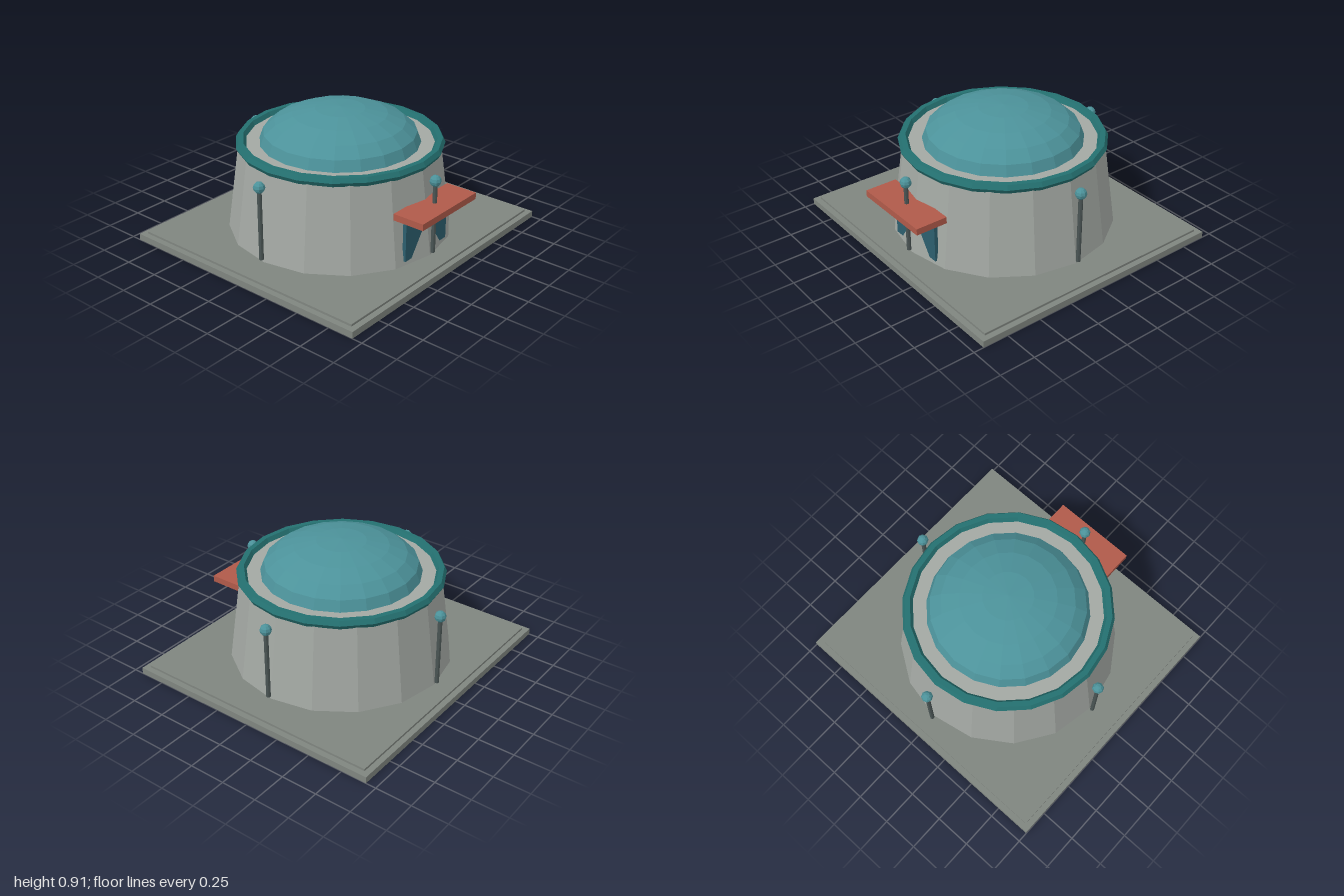
import * as THREE from 'three';

const mat = (color) => new THREE.MeshStandardMaterial({ color, flatShading: true });

export function createModel() {
  const group = new THREE.Group();
  const stone = mat(0x7f857f), wallGrey = mat(0xa3a8a3), domeTeal = mat(0x4c929a);
  const trimTeal = mat(0x247070), metal = mat(0x4a5554), clay = mat(0xb05a4a), doorBlue = mat(0x2c5f6e);

  const add = (name, geometry, material, x = 0, y = 0, z = 0, parent = group) => {
    const mesh = new THREE.Mesh(geometry, material);
    mesh.name = name;
    mesh.position.set(x, y, z);
    parent.add(mesh);
    return mesh;
  };

  // Stepped square base
  add('baseSlab', new THREE.BoxGeometry(2, 0.045, 1.86), stone, 0, 0.0225, 0);
  add('baseStep', new THREE.BoxGeometry(1.92, 0.04, 1.78), stone, 0, 0.04, 0);

  // Tapered sixteen-sided wall
  add('wall', new THREE.CylinderGeometry(0.676, 0.76, 0.61, 16), wallGrey, 0, 0.365, 0);

  // Rim ring around the roof edge
  const ring = new THREE.TorusGeometry(0.665, 0.035, 6, 20).rotateX(Math.PI / 2);
  add('rimRing', ring, trimTeal, 0, 0.67, 0);

  // Flattened dome
  const dome = new THREE.SphereGeometry(0.54, 20, 5, 0, Math.PI * 2, 0, Math.PI / 2);
  dome.scale(1, 0.235 / 0.54, 1);
  add('dome', dome, domeTeal, 0, 0.67, 0);

  // Door panel set into the wall, with a flat awning above
  add('door', new THREE.BoxGeometry(0.44, 0.305, 0.025), doorBlue, 0, 0.2425, 0.7125);
  add('awning', new THREE.BoxGeometry(0.58, 0.045, 0.225), clay, 0, 0.4225, 0.7875);

  // Four posts with ball tops
  const postGeometry = new THREE.CylinderGeometry(0.015, 0.015, 0.51, 8);
  const ballGeometry = new THREE.SphereGeometry(0.039, 8, 6);
  ['frontPost', 'leftPost', 'backPost', 'rightPost'].forEach((name, i) => {
    const post = new THREE.Group();
    post.name = name;
    const a = (i * Math.PI) / 2;
    post.position.set(Math.sin(a) * 0.78, 0, Math.cos(a) * 0.78);
    add('postShaft', postGeometry, metal, 0, 0.345, 0, post);
    add('postBall', ballGeometry, domeTeal, 0, 0.598, 0, post);
    group.add(post);
  });

  return group;
}
